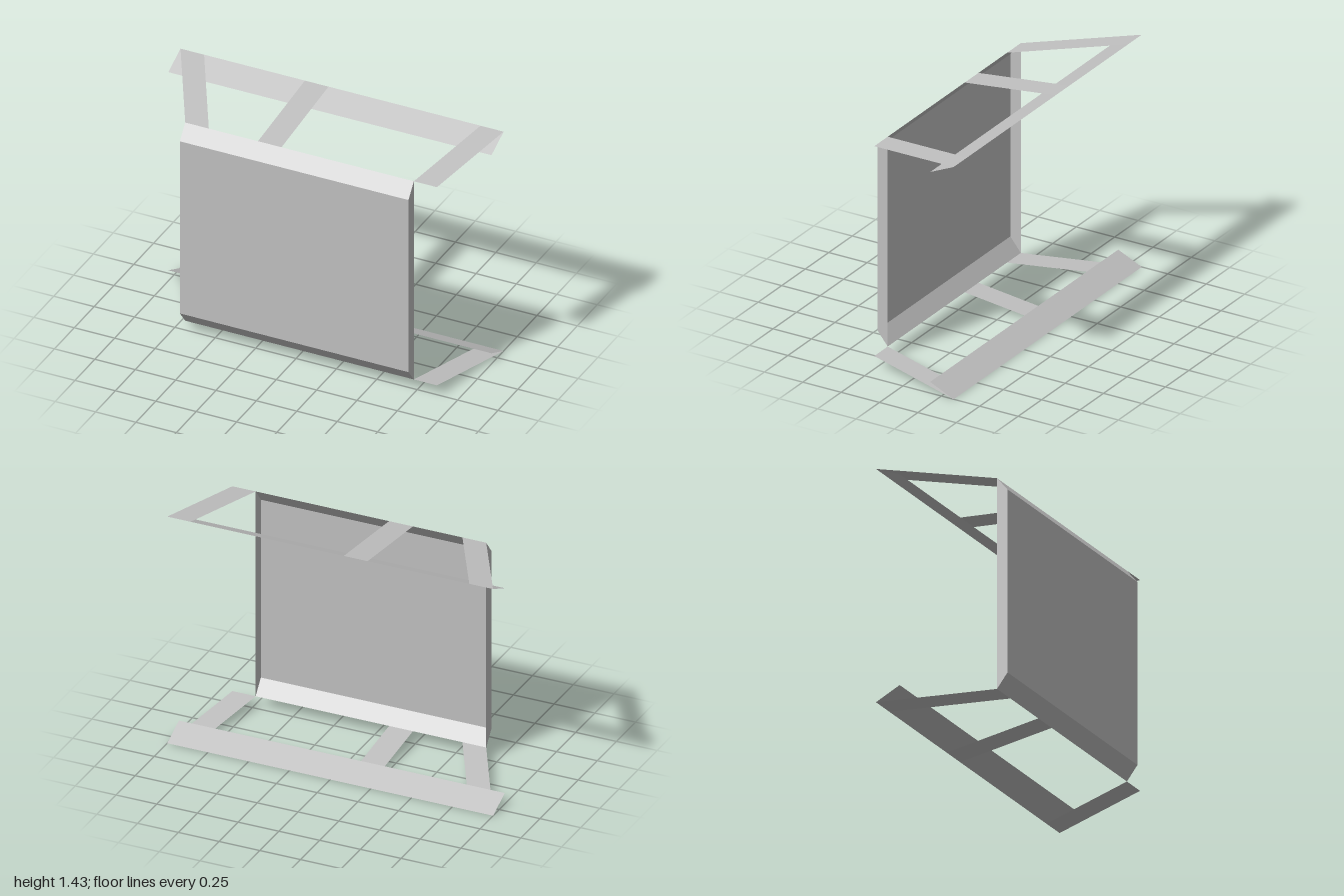
import * as THREE from 'three';

const MID = 0.717;               // height of the horizontal mirror plane
const LEFT = 0.735, RIGHT = -0.68; // panel sides
const Z_FRONT = 0.33, Z_EDGE = 0.262, Z_BACK = -0.33, Z_LIP = -0.177;
const FACE = 0.561, EDGE = 0.646, RAIL = 0.715; // half heights about MID

// Flat four-cornered sheet; corners run counter-clockwise seen from outside
function sheet(name, corners, material) {
  const geometry = new THREE.BufferGeometry();
  geometry.setAttribute('position', new THREE.Float32BufferAttribute(corners.flat(), 3));
  geometry.setIndex([0, 1, 2, 0, 2, 3]);
  geometry.computeVertexNormals();
  const mesh = new THREE.Mesh(geometry, material);
  mesh.name = name;
  return mesh;
}

export function createModel() {
  const grey = new THREE.MeshStandardMaterial({ color: 0xc0c0c0, side: THREE.DoubleSide });
  grey.name = 'light grey';
  const model = new THREE.Group();
  model.name = 'panelFrame';

  // Front panel, open at the back
  const panel = new THREE.Group();
  panel.name = 'frontPanel';
  panel.add(sheet('panelFace', [
    [RIGHT, MID - FACE, Z_FRONT], [LEFT, MID - FACE, Z_FRONT],
    [LEFT, MID + FACE, Z_FRONT], [RIGHT, MID + FACE, Z_FRONT],
  ], grey));
  for (const [name, x, s] of [['leftSide', LEFT, 1], ['rightSide', RIGHT, -1]]) {
    const corners = [
      [x, MID - FACE, Z_FRONT], [x, MID - EDGE, Z_EDGE],
      [x, MID + EDGE, Z_EDGE], [x, MID + FACE, Z_FRONT],
    ];
    panel.add(sheet(name, s > 0 ? corners : corners.reverse(), grey));
  }
  model.add(panel);

  // Arms: [name, x at the rail, x at the panel, width]
  const arms = [
    ['rightArm', -1, RIGHT, 0.146],
    ['middleArm', -0.23, -0.23, 0.146],
    ['leftArm', 0.857, LEFT, 0.143],
  ];

  // Bevel, rail and arms, mirrored above and below
  for (const [level, s] of [['upper', 1], ['lower', -1]]) {
    const group = new THREE.Group();
    group.name = level + 'Bracket';
    // Strip between a back line and a front line, facing away from the middle
    const strip = (name, back, front) => {
      const [bx0, bx1, by, bz] = back, [fx0, fx1, fy, fz] = front;
      const corners = [
        [fx0, MID + s * fy, fz], [fx1, MID + s * fy, fz],
        [bx1, MID + s * by, bz], [bx0, MID + s * by, bz],
      ];
      group.add(sheet(name, s > 0 ? corners : corners.reverse(), grey));
    };
    strip('bevel', [RIGHT, LEFT, EDGE, Z_EDGE], [RIGHT, LEFT, FACE, Z_FRONT]);
    strip('rail', [-1, 1, RAIL, Z_BACK], [-1, 1, EDGE, Z_LIP]);
    for (const [name, xb, xf, w] of arms) {
      strip(name, [xb, xb + w, RAIL, Z_BACK], [xf, xf + w, EDGE, Z_EDGE]);
    }
    model.add(group);
  }
  return model;
}
